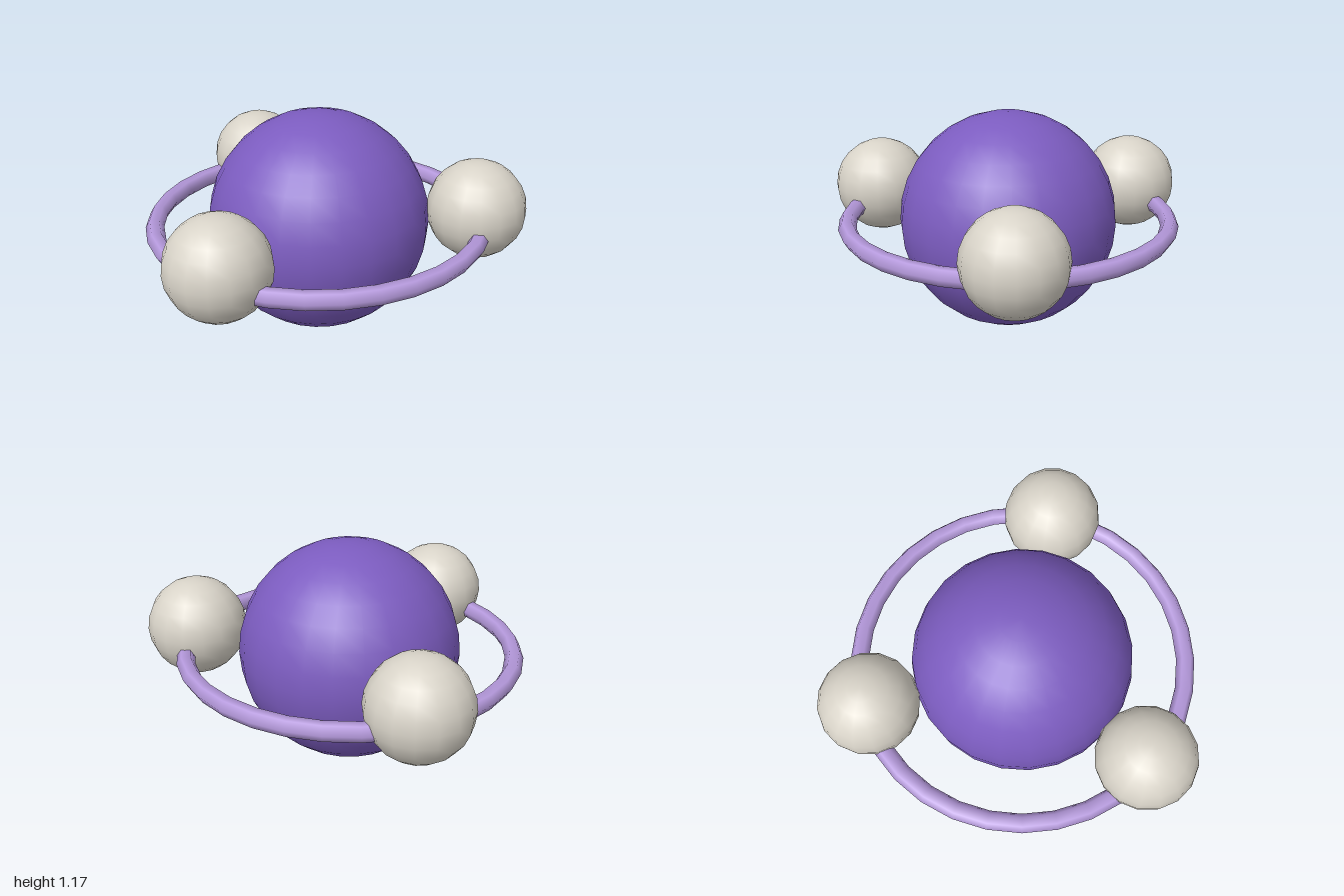
import * as THREE from 'three';

const CENTRE_X = -0.09, CENTRE_Y = 0.583;

function material(name, color) {
  const m = new THREE.MeshStandardMaterial({ color });
  m.name = name;
  return m;
}

export function createModel() {
  const group = new THREE.Group();
  group.name = 'orbitModel';
  const purple = material('purple', 0x7c5cc0);
  const lilac = material('lilac', 0xb599dc);
  const stone = material('stone', 0xd8d3c8);

  const add = (name, geometry, mat, x, y, z) => {
    const mesh = new THREE.Mesh(geometry, mat);
    mesh.name = name;
    mesh.position.set(x, y, z);
    group.add(mesh);
    return mesh;
  };

  // Large central ball
  add('centralSphere', new THREE.SphereGeometry(0.583, 24, 16), purple, CENTRE_X, CENTRE_Y, 0);

  // Six-sided ring lying flat around the ball
  const ring = new THREE.TorusGeometry(0.862, 0.048, 6, 32).rotateX(Math.PI / 2);
  add('orbitRing', ring, lilac, CENTRE_X, CENTRE_Y, 0);

  // Three small balls spaced evenly along the ring
  const moon = new THREE.SphereGeometry(0.262, 16, 12);
  for (let i = 0; i < 3; i++) {
    const a = (i * Math.PI * 2) / 3;
    add(`smallSphere${i + 1}`, moon, stone, CENTRE_X + 0.827 * Math.cos(a), 0.658, 0.827 * Math.sin(a));
  }
  return group;
}
